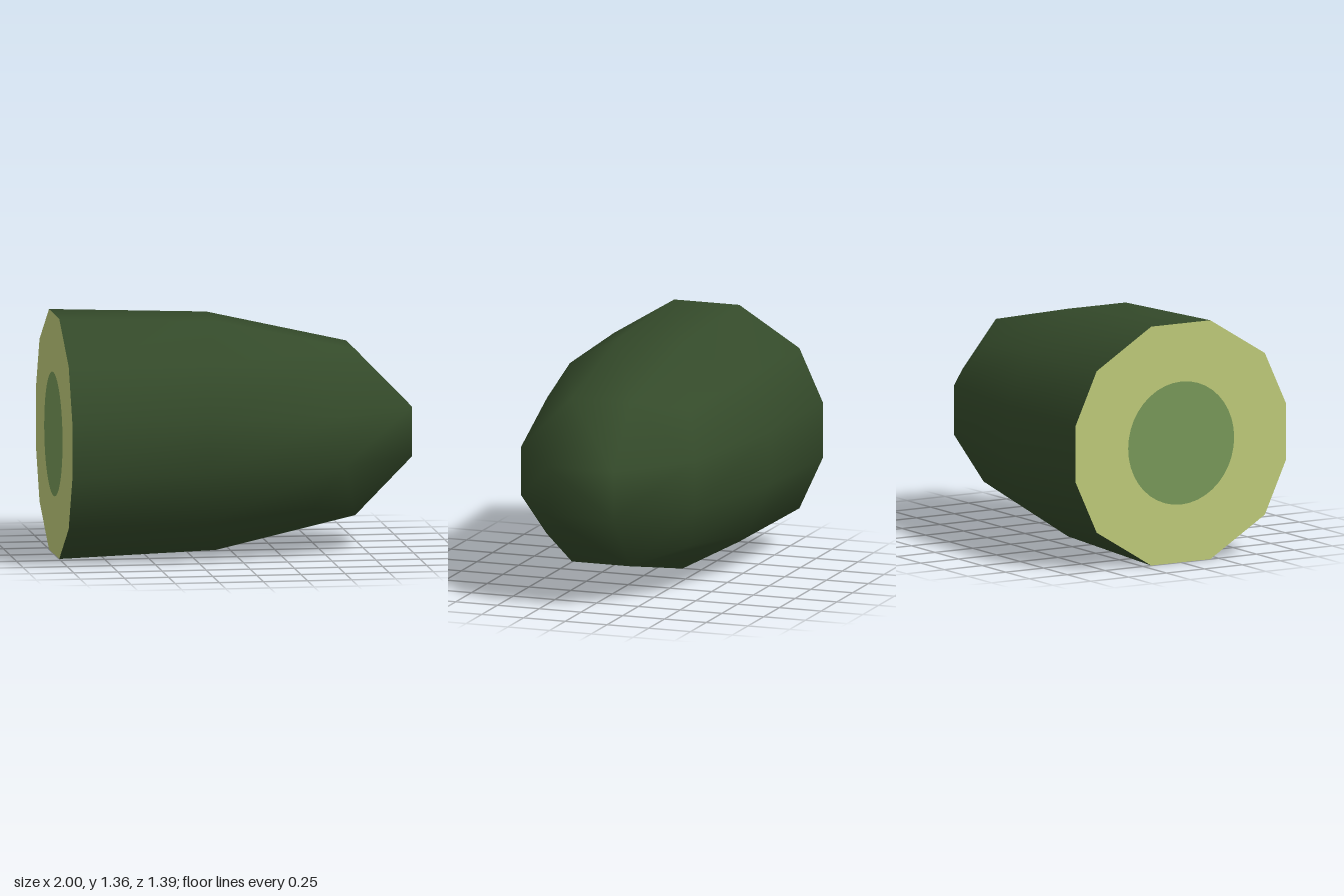
import * as THREE from 'three';

const CENTER_Y = 0.685;

// Twelve points around the x axis from one corner, one top and one side point [x, y, z]
function ring(corner, top, side) {
  const flip = ([x, y, z], sy, sz) => [x, y * sy, z * sz];
  return [
    flip(corner, 1, 1), flip(top, 1, 1), flip(top, 1, -1),
    flip(corner, 1, -1), flip(side, 1, -1), flip(side, -1, -1),
    flip(corner, -1, -1), flip(top, -1, -1), flip(top, -1, 1),
    flip(corner, -1, 1), flip(side, -1, 1), flip(side, 1, 1),
  ];
}

function build(points, index) {
  const geometry = new THREE.BufferGeometry();
  geometry.setAttribute('position', new THREE.Float32BufferAttribute(points.flat(), 3));
  geometry.setIndex(index);
  geometry.computeVertexNormals();
  return geometry;
}

export function createModel() {
  const skinGreen = new THREE.MeshStandardMaterial({ color: 0x344a2a });
  const fleshCream = new THREE.MeshStandardMaterial({ color: 0xbcc878 });
  const coreGreen = new THREE.MeshStandardMaterial({ color: 0x769658 });

  const group = new THREE.Group();
  group.name = 'cutVegetable';
  const add = (name, geometry, material) => {
    const mesh = new THREE.Mesh(geometry, material);
    mesh.name = name;
    mesh.position.y = CENTER_Y;
    group.add(mesh);
    return mesh;
  };

  // Skin: three rings from the cut to the shoulder, closed by a small blunt tip
  const rings = [
    ring([-1, 0.46, 0.555], [-1, 0.68, 0.195], [-1, 0.16, 0.695]),
    ring([-0.23, 0.45, 0.53], [-0.11, 0.648, 0.19], [-0.23, 0.15, 0.67]),
    ring([0.4, 0.39, 0.43], [0.68, 0.47, 0.175], [0.57, 0.14, 0.52]),
  ];
  const tip = [[1, 0.14, 0.195], [1, 0.14, -0.195], [1, -0.14, -0.195], [1, -0.14, 0.195]];
  const index = [];
  const quad = (a, b, c, d) => index.push(a, d, c, a, c, b);
  for (let r = 0; r < 2; r++) {
    for (let j = 0; j < 12; j++) {
      const k = (j + 1) % 12;
      quad(r * 12 + j, r * 12 + k, r * 12 + 12 + k, r * 12 + 12 + j);
    }
  }
  // Rounded end: a corner face and an edge face for each side of the tip
  for (let k = 0; k < 4; k++) {
    const s = 24 + 3 * k;
    quad(24 + ((3 * k + 11) % 12), s, s + 1, 36 + k);
    quad(s + 1, s + 2, 36 + ((k + 1) % 4), 36 + k);
  }
  quad(36, 37, 38, 39);
  add('skin', build([...rings.flat(), ...tip], index), skinGreen);

  // Flat cut face
  const fan = [];
  for (let i = 1; i < 11; i++) fan.push(0, i, i + 1);
  add('cutFlesh', build(rings[0], fan), fleshCream);

  // Round core painted on the cut
  const core = new THREE.CircleGeometry(0.35, 40).rotateY(-Math.PI / 2);
  add('core', core, coreGreen).position.x = -1.004;

  return group;
}
